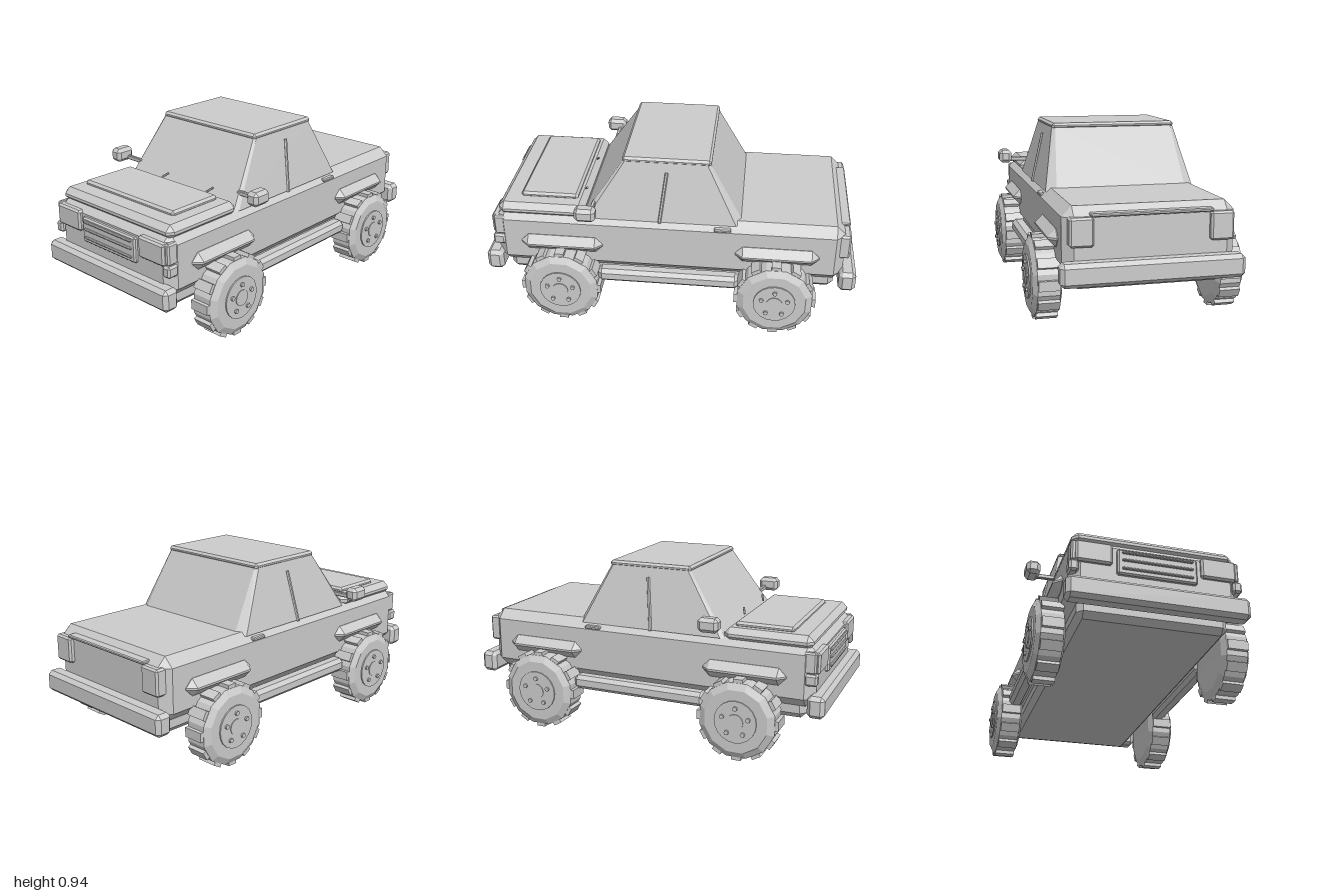
import * as THREE from 'three';
import { ConvexGeometry } from 'three/addons/geometries/ConvexGeometry.js';

const grey = new THREE.MeshStandardMaterial({ color: 0xcccccc, flatShading: true });
grey.name = 'light grey';

export function createModel() {
  const truck = new THREE.Group();
  truck.name = 'pickupTruck';

  function add(name, geometry, parent = truck) {
    const mesh = new THREE.Mesh(geometry, grey);
    mesh.name = name;
    parent.add(mesh);
    return mesh;
  }

  // Box between two corners with every edge cut at 45 degrees
  function chamferBox([x0, y0, z0], [x1, y1, z1], c) {
    const points = [];
    for (const x of [x0, x1]) for (const y of [y0, y1]) for (const z of [z0, z1]) {
      const ix = x === x0 ? c : -c, iy = y === y0 ? c : -c, iz = z === z0 ? c : -c;
      points.push(
        new THREE.Vector3(x, y + iy, z + iz),
        new THREE.Vector3(x + ix, y, z + iz),
        new THREE.Vector3(x + ix, y + iy, z));
    }
    return new ConvexGeometry(points);
  }
  const block = (name, a, b, c) => add(name, chamferBox(a, b, c));

  // The same block on both sides; given for the left (+x)
  function pair(name, a, b, c) {
    block(name + 'Left', a, b, c);
    block(name + 'Right', [-b[0], a[1], a[2]], [-a[0], b[1], b[2]], c);
  }

  // Thin rod between two points
  function rod(name, a, b, radius) {
    const from = new THREE.Vector3(...a), to = new THREE.Vector3(...b);
    const mesh = add(name, new THREE.CylinderGeometry(radius, radius, from.distanceTo(to), 6));
    mesh.position.copy(from).add(to).multiplyScalar(0.5);
    mesh.quaternion.setFromUnitVectors(new THREE.Vector3(0, 1, 0), to.sub(from).normalize());
  }

  // Body, chassis, hood and bumpers
  block('body', [-0.425, 0.29, -0.93], [0.425, 0.62, 0.94], 0.05);
  block('chassis', [-0.375, 0.215, -0.89], [0.375, 0.34, 0.89], 0.03);
  block('hood', [-0.41, 0.585, 0.455], [0.41, 0.66, 0.92], 0.03);
  block('hoodPanel', [-0.35, 0.65, 0.5], [0.315, 0.682, 0.81], 0.012).position.x = 0.0;
  block('frontBumper', [-0.452, 0.255, 0.91], [0.452, 0.37, 1], 0.02);
  block('rearBumper', [-0.452, 0.255, -1], [0.452, 0.37, -0.91], 0.02);
  pair('sideStep', [0.4, 0.24, -0.38], [0.482, 0.316, 0.38], 0.02);

  // Cab: lower outline with cut corners, tapering to the roof
  const cab = [];
  for (const s of [-1, 1]) {
    for (const [x, y, z] of [
      [0.39, 0.6, 0.465], [0.405, 0.6, 0.44], [0.403, 0.6, -0.355], [0.35, 0.6, -0.39],
      [0.325, 0.92, 0.245], [0.337, 0.92, 0.235], [0.337, 0.92, -0.195], [0.32, 0.92, -0.21],
    ]) cab.push(new THREE.Vector3(s * x, y, z));
  }
  add('cab', new ConvexGeometry(cab));
  block('roof', [-0.338, 0.91, -0.215], [0.338, 0.942, 0.25], 0.012);

  // Front face: grille with bars, headlights, indicators
  block('grille', [-0.2, 0.425, 0.92], [0.2, 0.56, 0.96], 0.008);
  for (const y of [0.455, 0.5, 0.54]) {
    block('grilleBar', [-0.178, y - 0.006, 0.95], [0.178, y + 0.006, 0.97], 0.004);
  }
  pair('headlight', [0.222, 0.47, 0.88], [0.402, 0.582, 0.96], 0.01);
  pair('indicator', [0.385, 0.415, 0.89], [0.432, 0.475, 0.955], 0.01);
  pair('sideLamp', [0.39, 0.475, 0.88], [0.422, 0.585, 0.945], 0.008);

  // Rear face: tail lights and tailgate lip
  pair('tailLight', [0.285, 0.435, -0.957], [0.402, 0.575, -0.88], 0.01);
  block('tailgateLip', [-0.3, 0.575, -0.955], [0.3, 0.592, -0.9], 0.005);

  // Side details
  pair('doorHandle', [0.4, 0.572, -0.33], [0.43, 0.59, -0.24], 0.005);
  pair('mirror', [0.475, 0.66, 0.365], [0.548, 0.735, 0.475], 0.018);
  pair('mirrorArm', [0.36, 0.668, 0.39], [0.485, 0.692, 0.41], 0.004);
  for (const s of [-1, 1]) {
    rod('doorPillar', [s * 0.405, 0.595, 0.05], [s * 0.35, 0.87, 0.015], 0.009);
    rod('wiper', [s * 0.165 + 0.045, 0.665, 0.475], [s * 0.165 + 0.078, 0.69, 0.458], 0.006);
  }

  // Wheel, axis along +x, outer side at +x
  const profile = [[0, 0.4], [0.165, 0.394], [0.205, 0.41], [0.205, 0.52], [0.17, 0.54], [0, 0.54]]
    .map(([r, x]) => new THREE.Vector2(r, x - 0.47));
  function makeWheel(name) {
    const wheel = new THREE.Group();
    wheel.name = name;
    truck.add(wheel);
    const tire = new THREE.LatheGeometry(profile, 12, Math.PI / 12).rotateZ(-Math.PI / 2);
    add('tire', tire, wheel);
    for (let i = 0; i < 12; i++) {
      const tread = new THREE.BoxGeometry(0.108, 0.03, 0.05).translate(-0.006, 0.202, 0);
      add('tread', tread.rotateX(i * Math.PI / 6), wheel);
    }
    const disc = (part, r, x, n) => add(part,
      new THREE.CylinderGeometry(r, r, 0.02, n).rotateZ(-Math.PI / 2).translate(x - 0.01, 0, 0), wheel);
    disc('rim', 0.112, 0.077, 20);
    disc('hub', 0.043, 0.081, 16);
    for (let i = 0; i < 5; i++) {
      const a = Math.PI / 2 + i * Math.PI * 2 / 5;
      disc('bolt', 0.012, 0.087, 8).position.set(0, 0.073 * Math.sin(a), 0.073 * Math.cos(a));
    }
    return wheel;
  }

  // Wheels and the fender flares above them
  for (const [end, z] of [['front', 0.577], ['rear', -0.577]]) {
    for (const [side, s] of [['Left', 1], ['Right', -1]]) {
      const wheel = makeWheel(end + 'Wheel' + side);
      wheel.position.set(s * 0.47, 0.217, z);
      if (s < 0) wheel.rotation.y = Math.PI;
    }
    pair(end + 'Flare', [0.36, 0.4, z - 0.222], [0.468, 0.49, z + 0.222], 0.04);
  }
  return truck;
}
